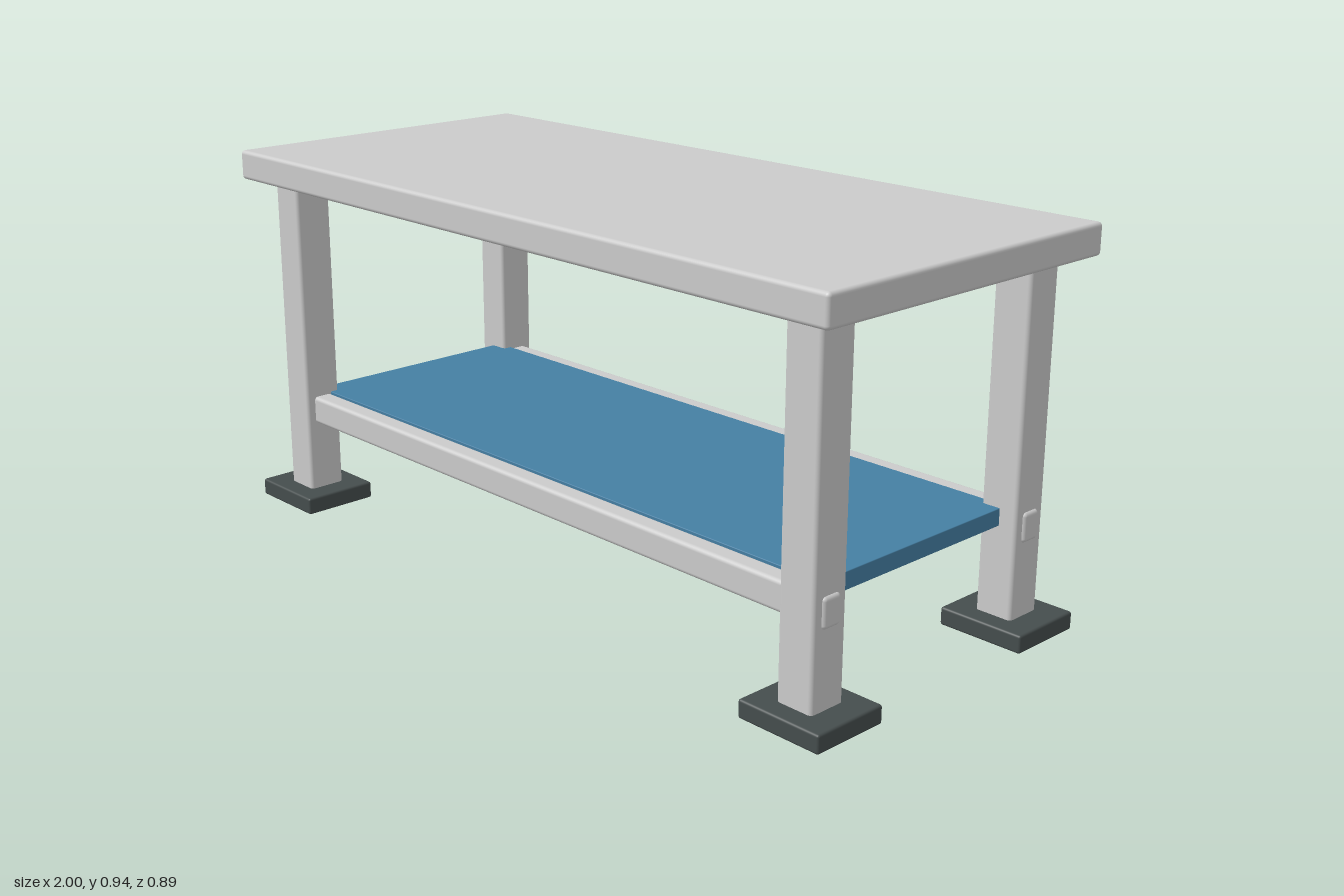
import * as THREE from 'three';
import { RoundedBoxGeometry } from 'three/addons/geometries/RoundedBoxGeometry.js';

const grey = new THREE.MeshStandardMaterial({ color: 0xcccccc });
const blue = new THREE.MeshStandardMaterial({ color: 0x457fa3 });
const dark = new THREE.MeshStandardMaterial({ color: 0x454d4d });

export function createModel() {
  const group = new THREE.Group();
  group.name = 'workbench';

  // Rounded block given by its size, centre in x and z, and bottom height
  function block(name, w, h, d, x, bottom, z, radius, material) {
    const mesh = new THREE.Mesh(new RoundedBoxGeometry(w, h, d, 3, radius), material);
    mesh.name = name;
    mesh.position.set(x, bottom + h / 2, z);
    group.add(mesh);
  }

  block('tableTop', 2, 0.075, 0.886, 0, 0.87, 0, 0.01, grey);

  // Shelf panel resting between the rails
  block('shelf', 1.78, 0.042, 0.62, 0, 0.26, 0, 0.002, blue);

  for (const sz of [1, -1]) {
    const z = sz * 0.334;
    // Long rail whose ends pass just through the legs
    block(sz > 0 ? 'frontRail' : 'backRail', 1.886, 0.072, 0.053, 0, 0.225, z, 0.01, grey);

    for (const sx of [1, -1]) {
      const corner = (sz > 0 ? 'front' : 'back') + (sx > 0 ? 'Left' : 'Right');
      block(corner + 'Leg', 0.096, 0.85, 0.098, sx * 0.888, 0.02, z, 0.01, grey);
      block(corner + 'Foot', 0.22, 0.044, 0.198, sx * 0.89, 0, z, 0.006, dark);
    }
  }
  return group;
}
